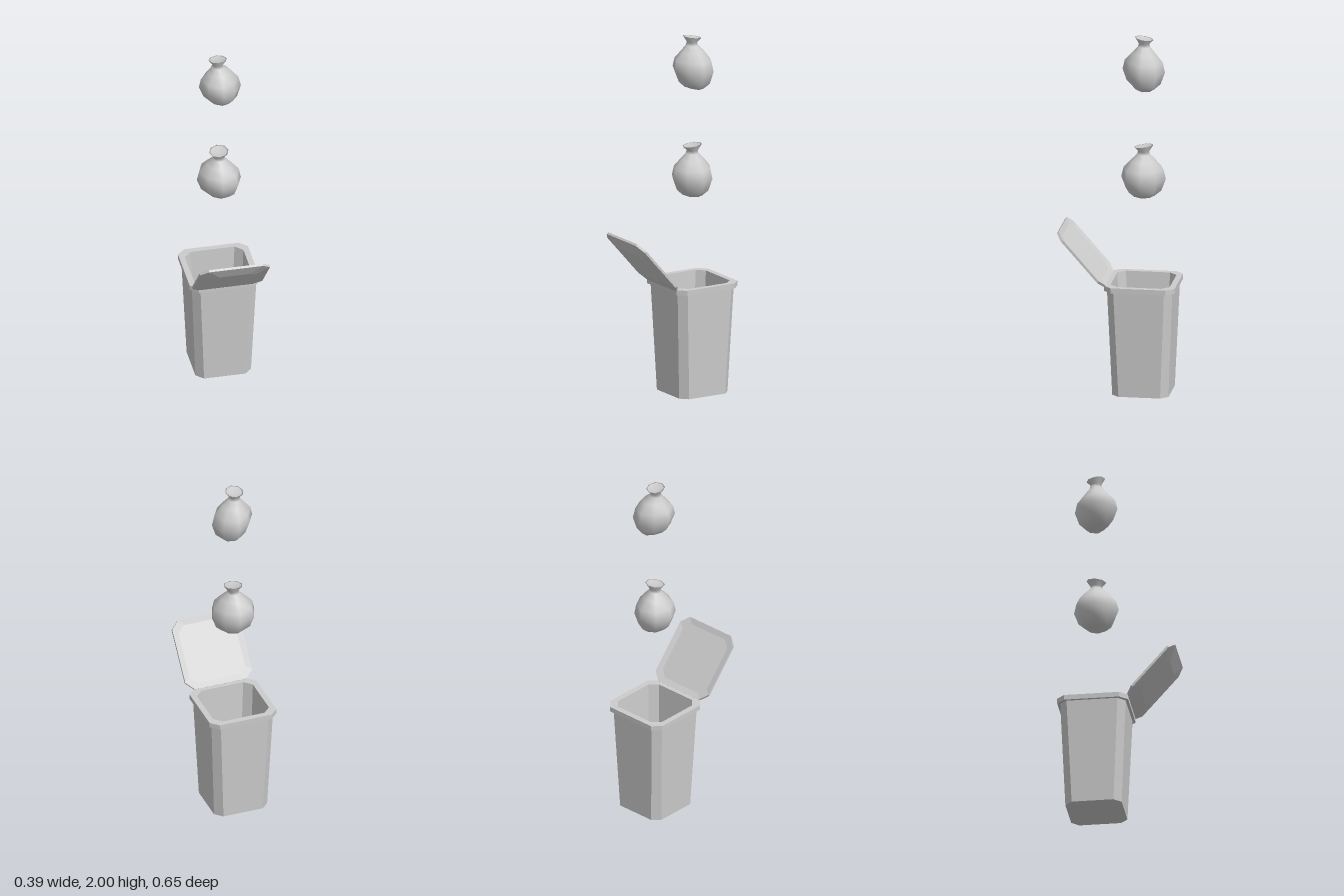
import * as THREE from 'three';
import { mergeVertices } from 'three/addons/utils/BufferGeometryUtils.js';

const flat = new THREE.MeshStandardMaterial({ color: 0xcccccc, flatShading: true });
const smooth = new THREE.MeshStandardMaterial({ color: 0xcccccc, side: THREE.DoubleSide });

// Square with cut corners, running from the front towards +x
function octagon([half, cut, y]) {
  const k = half - cut;
  return [[-k, half], [k, half], [half, k], [half, -k], [k, -half], [-k, -half], [-half, -k], [-half, k]]
    .map(([x, z]) => new THREE.Vector3(x, y, z));
}

// Skin through a series of octagons, each given as [half width, corner cut, height]
function loft(name, sections) {
  const rings = sections.map(octagon);
  const points = [];
  for (let i = 0; i < rings.length - 1; i++) {
    for (let j = 0; j < 8; j++) {
      const k = (j + 1) % 8;
      const [a, b, c, d] = [rings[i][j], rings[i][k], rings[i + 1][k], rings[i + 1][j]];
      if (sections[i][0] > 0) points.push(a, b, c);
      if (sections[i + 1][0] > 0) points.push(a, c, d);
      else if (sections[i][0] === 0) points.push(a, c, d);
    }
  }
  // Caps that shrink to a point keep a single triangle per side
  const geometry = new THREE.BufferGeometry().setFromPoints(points);
  geometry.computeVertexNormals();
  const mesh = new THREE.Mesh(geometry, flat);
  mesh.name = name;
  return mesh;
}

// Tied sack: eight-sided lathe, squashed along its diagonals and leaning
function bag(name, { radius, diagonalA, diagonalB, lean, neckX, tieTilt }) {
  const profile = [
    [0, 0.008], [0.5, 0.008], [0.8, 0.04], [1, 0.105], [0.9, 0.158], [0.56, 0.205],
    [0.29, 0.237], [0.25, 0.255], [0.44, 0.284], [0.38, 0.283], [0, 0.268],
  ].map(([r, y]) => new THREE.Vector2(r * radius, y));
  let geometry = new THREE.LatheGeometry(profile, 8);
  const p = geometry.attributes.position;
  for (let i = 0; i < p.count; i++) {
    let x = p.getX(i), y = p.getY(i), z = p.getZ(i);
    const s = (2 * x * z) / (x * x + z * z || 1);
    if (y < 0.23) {
      const f = 1 + ((s > 0 ? diagonalA : diagonalB) - 1) * Math.abs(s);
      x *= f;
      z *= f;
      y += (x * lean[0] + z * lean[1]) * (1 - y / 0.23);
      x -= neckX * (1 - y / 0.3);
    } else {
      if (y > 0.26) y += x * tieTilt[0] + z * tieTilt[1];
      x += neckX * 0.6;
    }
    p.setXYZ(i, x, y, z);
  }
  geometry.deleteAttribute('uv');
  geometry.deleteAttribute('normal');
  geometry = mergeVertices(geometry, 1e-5);
  geometry.computeVertexNormals();
  const mesh = new THREE.Mesh(geometry, smooth);
  mesh.name = name;
  return mesh;
}

export function createModel() {
  const model = new THREE.Group();
  model.name = 'wasteBin';

  // Tapered bin with a thick rim and a hollow inside
  const bin = new THREE.Group();
  bin.name = 'bin';
  bin.position.z = -0.13;
  bin.add(
    loft('body', [[0, 0, 0], [0.155, 0.04, 0], [0.18, 0.04, 0.6]]),
    loft('rim', [[0.18, 0.04, 0.597], [0.195, 0.043, 0.597], [0.195, 0.043, 0.625], [0.163, 0.041, 0.625]]),
    loft('inside', [[0.163, 0.041, 0.625], [0.133, 0.04, 0.02], [0, 0, 0.02]]),
  );
  model.add(bin);

  // Lid swung open over the front edge: shallow dish inside, bevelled panel outside
  const lid = loft('lid', [
    [0, 0, 0.007], [0.163, 0.04, 0.007], [0.195, 0.045, 0],
    [0.195, 0.045, 0.013], [0.118, 0.035, 0.03], [0, 0, 0.03],
  ]);
  lid.position.set(0, 0.773, 0.186);
  lid.rotation.x = 2.294;
  model.add(lid);

  // Two bags dropping into the bin
  const lower = bag('lowerBag', {
    radius: 0.123, diagonalA: 1.02, diagonalB: 0.92, lean: [-0.1, 0.05], neckX: 0, tieTilt: [0.05, -0.13],
  });
  lower.position.set(0, 1.1, -0.13);
  const upper = bag('upperBag', {
    radius: 0.117, diagonalA: 0.87, diagonalB: 0.98, lean: [-0.15, 0.1], neckX: -0.01, tieTilt: [0.02, 0.16],
  });
  upper.position.set(0, 1.708, -0.132);
  model.add(lower, upper);

  return model;
}
